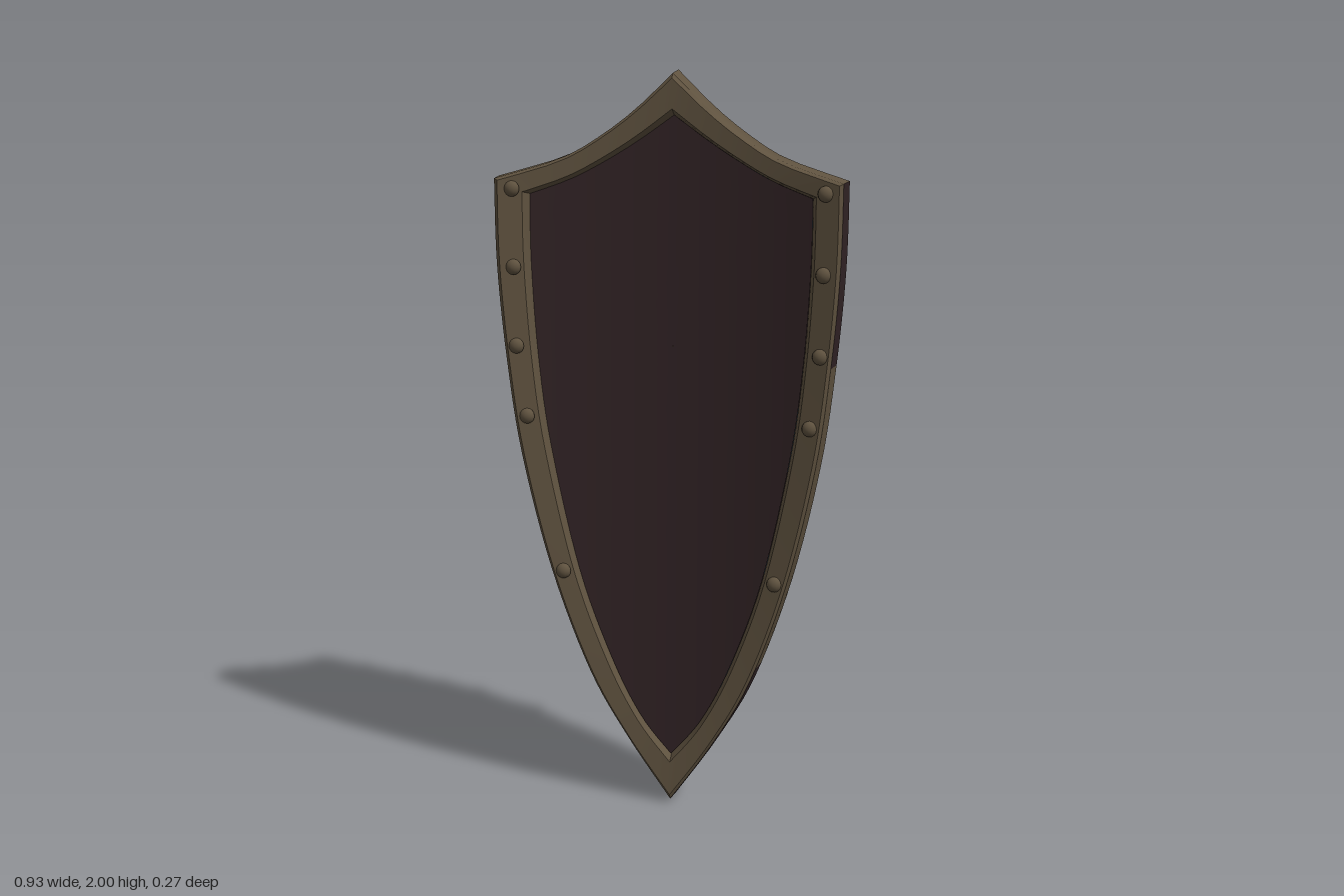
import * as THREE from 'three';
import { toCreasedNormals } from 'three/addons/utils/BufferGeometryUtils.js';

const V2 = (x, y) => new THREE.Vector2(x, y);

// Closed outline: top edge, right flank, then both mirrored; clockwise from +z
function outline(top, side) {
  const curve = (pts, n) => new THREE.SplineCurve(pts.map(p => V2(...p))).getPoints(n);
  const half = [...curve(top, 10), ...curve(side, 42).slice(1)];
  return [...half, ...half.slice(1, -1).reverse().map(p => V2(-p.x, p.y))];
}
const OUTER = outline(
  [[0, 2], [0.1, 1.905], [0.2, 1.83], [0.3, 1.775], [0.467, 1.725]],
  [[0.467, 1.725], [0.463, 1.5], [0.442, 1.25], [0.405, 0.98], [0.33, 0.66], [0.228, 0.37], [0.12, 0.175], [0, 0]]);
const INNER = outline(
  [[0, 1.885], [0.1, 1.815], [0.2, 1.755], [0.28, 1.715], [0.377, 1.68]],
  [[0.377, 1.68], [0.375, 1.5], [0.359, 1.25], [0.327, 1.0], [0.254, 0.66], [0.167, 0.41], [0.085, 0.245], [0, 0.14]]);
const CY = 1.28; // height of the emblem centre

// Curved middle surface of the shield
const midZ = (x, y) => 0.035 * (1 - y / 2) + 0.38 * x * x;

// 0 at the emblem centre, 1 on the inner outline
function radial(x, y) {
  const py = y - CY;
  for (let i = 0; i < INNER.length; i++) {
    const a = INNER[i], b = INNER[(i + 1) % INNER.length];
    const ay = a.y - CY, by = b.y - CY, det = a.x * by - ay * b.x;
    const u = (x * by - py * b.x) / det, v = (a.x * py - ay * x) / det;
    if (u >= -1e-6 && v >= -1e-6) return u + v;
  }
  return 0;
}
// Bulged, ridged outer face
function panelZ(x, y, s = radial(x, y)) {
  const bulge = Math.max(0, 1 - s * s);
  return midZ(x, y) - 0.02 - 0.02 * Math.min(1, bulge * 3)
    - bulge * (0.03 + 0.03 * Math.max(0, 1 - Math.abs(x) / 0.4));
}

// Skin over rows of points; pick(j, k) selects a material index
function loft(rows, { wrapJ = false, wrapK = false, caps = false, crease = 0.6, pick = () => 0 } = {}) {
  const n = rows.length, m = rows[0].length, faces = [[], []];
  for (let j = 0; j < (wrapJ ? n : n - 1); j++) for (let k = 0; k < (wrapK ? m : m - 1); k++) {
    const j2 = (j + 1) % n, k2 = (k + 1) % m;
    const a = j * m + k, b = j2 * m + k, c = j2 * m + k2, d = j * m + k2;
    faces[pick(j, k)].push(a, b, c, a, c, d);
  }
  if (caps) for (let k = 1; k < m - 1; k++) {
    const e = (n - 1) * m;
    faces[0].push(0, k, k + 1, e, e + k + 1, e + k);
  }
  const g = new THREE.BufferGeometry();
  g.setAttribute('position', new THREE.Float32BufferAttribute(rows.flat(2), 3));
  g.setIndex(faces.flat());
  g.addGroup(0, faces[0].length, 0);
  if (faces[1].length) g.addGroup(faces[0].length, faces[1].length, 1);
  if (crease > 0) return toCreasedNormals(g, crease);
  const flat = g.toNonIndexed();
  flat.computeVertexNormals();
  return flat;
}

// Ridged bar lying on the outer face; stations are [distance, half width, edge height, ridge height]
function bar(angle, stations, baseZ = panelZ, sink = 0.006) {
  const dx = Math.cos(angle), dy = Math.sin(angle);
  return loft(stations.map(([d, w, edge, ridge]) => {
    const x = dx * d, y = CY + dy * d, z = baseZ(x, y);
    const at = (f, h) => [x - dy * w * f, y + dx * w * f, z - h];
    return [at(1, -sink), at(1, edge), at(0, ridge), at(-1, edge), at(-1, -sink)];
  }), { wrapK: true, caps: true, crease: 0 });
}

export function createModel() {
  const model = new THREE.Group();
  const paint = (name, color) => {
    const m = new THREE.MeshStandardMaterial({ color, side: THREE.DoubleSide });
    m.name = name;
    return m;
  };
  const bronze = paint('dull bronze', 0x5f523f);
  const brown = paint('dark brown', 0x302224);
  const blue = paint('steel blue', 0x2b3945);
  const add = (name, geometry, material, parent = model) => {
    const mesh = new THREE.Mesh(geometry, material);
    mesh.name = name;
    parent.add(mesh);
    return mesh;
  };

  // Bevelled rim, with worn dark stretches on one outer wall
  const section = [[0, -0.033], [0.08, -0.042], [0.88, -0.042], [1, -0.022],
    [1, 0.014], [0.86, 0.04], [0.18, 0.042], [0.07, 0.032]];
  const rimRows = OUTER.map((o, j) => section.map(([t, dz]) => {
    const p = o.clone().lerp(INNER[j], t);
    return [p.x, p.y, midZ(p.x, p.y) + dz];
  }));
  add('rim', loft(rimRows, {
    wrapJ: true, wrapK: true,
    pick: (j, k) => {
      const { x, y } = OUTER[j];
      return k === 7 && x > 0 && (y < 0.45 || (y > 1.27 && y < 1.73)) ? 1 : 0;
    },
  }), [bronze, brown]);

  // Outer painted panel with a ragged worn border
  const rings = [1, 0.97, 0.945, 0.92, 0.88, 0.8, 0.7, 0.6, 0.5, 0.4, 0.3, 0.2, 0.1, 0.002];
  const at = (p, s) => [p.x * s, CY + (p.y - CY) * s];
  const wear = j => Math.floor(1.5 + 1.1 * Math.sin(j * 0.9) + 0.9 * Math.sin(j * 0.37 + 1));
  add('outerPanel', loft(INNER.map(p => rings.map(s => {
    const [x, y] = at(p, s);
    return [x, y, panelZ(x, y, s)];
  })), { wrapJ: true, crease: 0.35, pick: (j, k) => (k < wear(j) ? 1 : 0) }), [blue, brown]);

  // Plain inner panel, recessed a little more towards the top
  add('innerPanel', loft(INNER.map(p => rings.slice().reverse().map(s => {
    const [x, y] = at(p, s);
    return [x, y, midZ(x, y) + 0.026 - 0.006 * y];
  })), { wrapJ: true }), brown);

  // Emblem: long blade, arrow, crossguard, ring, burst and boss
  const emblem = new THREE.Group();
  emblem.name = 'emblem';
  model.add(emblem);
  const UP = Math.PI / 2;
  add('blade', bar(-UP, [[0, 0.042, 0.014, 0.038], [0.3, 0.036, 0.012, 0.032],
    [0.7, 0.025, 0.01, 0.028], [0.95, 0.013, 0.008, 0.022], [1.12, 0.001, 0.004, 0.006]]), bronze, emblem);
  add('arrowShaft', bar(UP, [[0, 0.042, 0.014, 0.038], [0.15, 0.03, 0.01, 0.026],
    [0.4, 0.022, 0.01, 0.026]]), bronze, emblem);
  add('arrowHead', bar(UP, [[0.4, 0.046, 0.012, 0.03], [0.46, 0.032, 0.012, 0.032],
    [0.54, 0.014, 0.01, 0.028], [0.615, 0.001, 0.004, 0.01]]), bronze, emblem);
  add('crossguard', bar(0, [[-0.37, 0.014], [-0.28, 0.026], [-0.19, 0.035], [-0.1, 0.04], [0, 0.045],
    [0.1, 0.04], [0.19, 0.035], [0.28, 0.026], [0.37, 0.014]]
    .map(([d, w]) => [d, w, 0.024, 0.036]), x => -0.098 + 0.18 * Math.abs(x) + 0.25 * x * x, 0), bronze, emblem);

  const ringRows = Array.from({ length: 64 }, (_, i) => {
    const a = UP - i / 64 * Math.PI * 2;
    return [[0.258, -0.006], [0.254, 0.016], [0.227, 0.016], [0.223, -0.006]].map(([r, h]) => {
      const x = r * Math.cos(a), y = CY + 0.012 + r * Math.sin(a);
      return [x, y, panelZ(x, y) - h];
    });
  });
  add('ring', loft(ringRows, { wrapJ: true, wrapK: true, crease: 0 }), bronze, emblem);

  for (let i = 0; i < 20; i++) {
    const a = (i + 0.5) / 20 * Math.PI * 2, long = i % 2;
    add('burstSpike', bar(a, [[0.02, 0.02, 0.008, 0.022], [0.08, 0.018, 0.006, 0.016],
      [long ? 0.165 : 0.125, 0.001, 0.002, 0.004]]), bronze, emblem);
    add('ray', bar(a, [[0.16, 0.004, 0.002, 0.005], [0.25, 0.006, 0.002, 0.007],
      [long ? 0.36 : 0.31, 0.001, 0.001, 0.002]]), blue, emblem);
  }
  const boss = add('boss', new THREE.ConeGeometry(0.08, 0.05, 8).toNonIndexed(), bronze, emblem);
  boss.geometry.computeVertexNormals();
  boss.rotation.x = -Math.PI / 2;
  boss.position.set(0, CY, -0.109);

  // Rivets on both faces of the rim
  const rivet = new THREE.SphereGeometry(0.021, 12, 8);
  const addRivet = (x, y, side) => {
    const mesh = add('rivet', rivet, bronze);
    mesh.position.set(x, y, midZ(x, y) + side * 0.042);
    mesh.scale.z = 0.8;
  };
  const flank = [[0.415, 1.695], [0.413, 1.49], [0.408, 1.28], [0.383, 1.09], [0.292, 0.66]];
  const crown = [[0.1, 1.86], [0.2, 1.79], [0.3, 1.742]];
  for (const m of [1, -1]) {
    for (const [x, y] of flank) for (const side of [1, -1]) addRivet(m * x, y, side);
    for (const [x, y] of crown) addRivet(m * x, y, -1);
  }
  addRivet(0, 1.945, -1);
  addRivet(0, 0.075, -1);
  return model;
}
